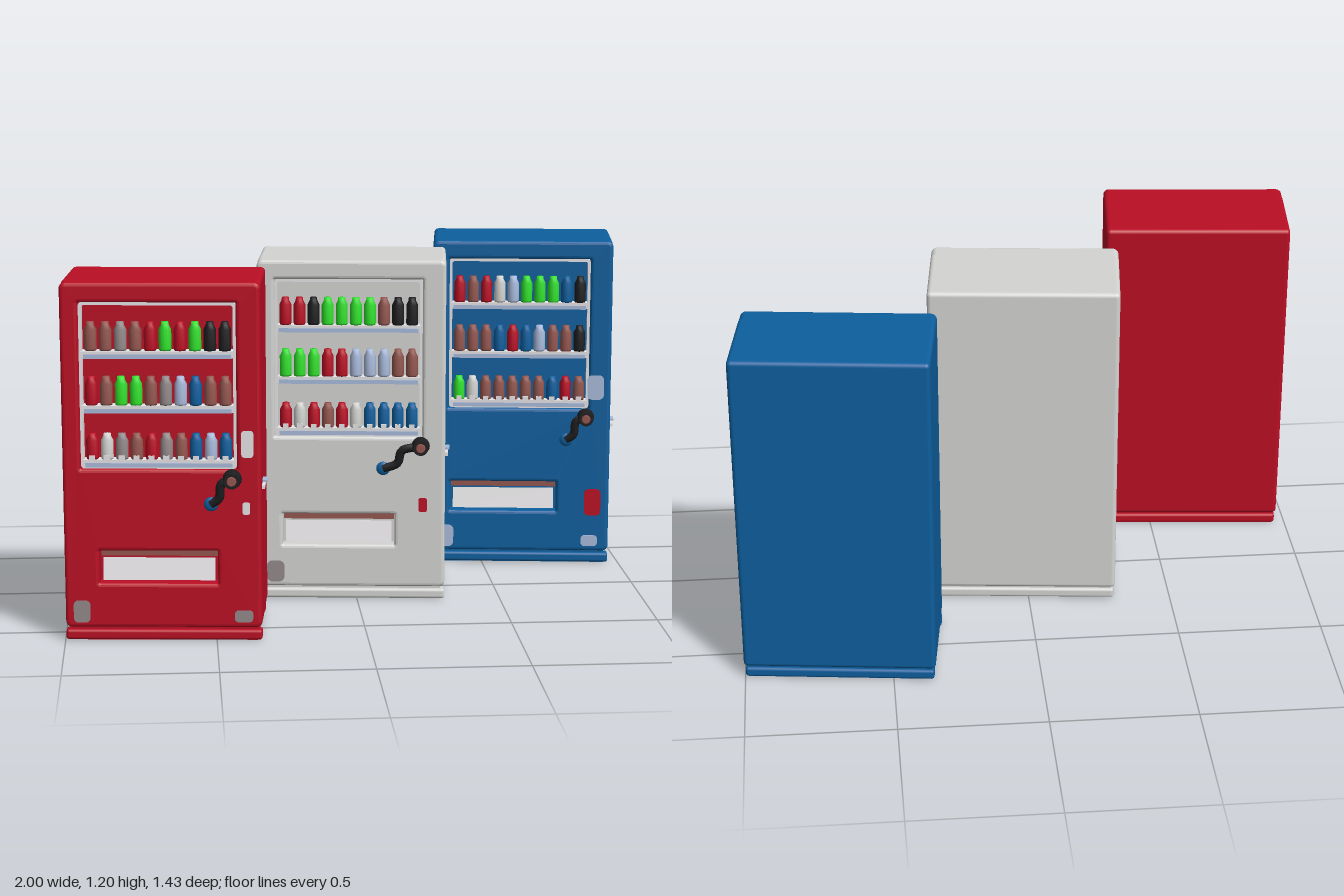
import * as THREE from 'three';
import { RoundedBoxGeometry } from 'three/addons/geometries/RoundedBoxGeometry.js';

const mat = (name, color) => {
  const m = new THREE.MeshStandardMaterial({ color });
  m.name = name;
  return m;
};
const M = {
  r: mat('red', 0xbb0e24), w: mat('white', 0xd4d4d2), b: mat('blue', 0x0d5f9e),
  k: mat('black', 0x1e1e20), g: mat('green', 0x2fe32b), n: mat('brown', 0x94564f),
  e: mat('grey', 0x94898a), l: mat('pale blue', 0xa9bbdc), p: mat('off white', 0xe6e4e6),
};

const W = 0.65, D = 0.385, FRONT = D / 2, RECESS = 0.14;
const WIN = [-0.265, 0.595, 0.245, 1.145];

function add(parent, name, geo, material, x = 0, y = 0, z = 0) {
  const mesh = new THREE.Mesh(geo, material);
  mesh.name = name;
  mesh.position.set(x, y, z);
  parent.add(mesh);
  return mesh;
}
const box = (w, h, d) => new THREE.BoxGeometry(w, h, d);

// Rectangle with rounded corners, as a Shape or a hole Path
function roundRect(P, x0, y0, x1, y1, r) {
  const s = new P();
  s.absarc(x1 - r, y1 - r, r, 0, Math.PI / 2);
  s.absarc(x0 + r, y1 - r, r, Math.PI / 2, Math.PI);
  s.absarc(x0 + r, y0 + r, r, Math.PI, Math.PI * 1.5);
  s.absarc(x1 - r, y0 + r, r, Math.PI * 1.5, Math.PI * 2);
  s.closePath();
  return s;
}

// Drink can with a narrower neck
const canGeo = new THREE.LatheGeometry(
  [[0, 0], [0.019, 0], [0.0205, 0.006], [0.0205, 0.066], [0.013, 0.08], [0.012, 0.09], [0, 0.09]]
    .map(([x, y]) => new THREE.Vector2(x, y)), 12);

function machine({ name, body, x, z, turn, rows, slotX, knobX, armTip, stickers }) {
  const g = new THREE.Group();
  g.name = name;
  g.position.set(x, 0, z);
  g.rotation.y = turn;

  // Cabinet, plinth and kick plate
  const backD = RECESS + D / 2;
  add(g, 'cabinet', new RoundedBoxGeometry(W, 1.15, backD, 3, 0.015), body, 0, 0.635, RECESS - backD / 2);
  add(g, 'plinth', box(W - 0.03, 0.06, D - 0.03), body, 0, 0.045, 0);
  add(g, 'kickPlate', new RoundedBoxGeometry(W, 0.035, 0.05, 2, 0.01), body, 0, 0.035, FRONT - 0.025);
  add(g, 'rearFoot', new RoundedBoxGeometry(W - 0.01, 0.035, 0.05, 2, 0.01), body, 0, 0.035, -FRONT + 0.03);

  // Door with openings for the display and the delivery slot
  const bev = 0.012;
  const slot = [slotX - 0.195, 0.21, slotX + 0.195, 0.32];
  const door = roundRect(THREE.Shape, -W / 2 + bev, 0.06 + bev, W / 2 - bev, 1.21 - bev, 0.008);
  for (const [a, b, c, d] of [WIN, slot])
    door.holes.push(roundRect(THREE.Path, a - bev, b - bev, c + bev, d + bev, 0.015));
  const doorGeo = new THREE.ExtrudeGeometry(door, {
    depth: FRONT - 0.1 - 2 * bev, bevelThickness: bev, bevelSize: bev, bevelSegments: 3, curveSegments: 4,
  });
  add(g, 'door', doorGeo, body, 0, 0, 0.1 + bev);

  // Thin window trim
  const t = 0.01;
  const trim = roundRect(THREE.Shape, WIN[0], WIN[1], WIN[2], WIN[3], 0.012);
  trim.holes.push(roundRect(THREE.Path, WIN[0] + t, WIN[1] + t, WIN[2] - t, WIN[3] - t, 0.008));
  add(g, 'windowTrim', new THREE.ExtrudeGeometry(trim, { depth: 0.03, bevelEnabled: false }), M.p, 0, 0, 0.15);

  // Shelves filled with cans
  const midX = (WIN[0] + WIN[2]) / 2;
  rows.forEach((row, i) => {
    const y = 0.985 - i * 0.18;
    add(g, 'shelf', box(0.5, 0.022, 0.046), M.p, midX, y - 0.011, 0.163);
    add(g, 'priceStrip', box(0.48, 0.014, 0.006), M.l, midX, y - 0.017, 0.186);
    [...row].forEach((c, j) => {
      const can = add(g, 'can', canGeo, M[c], midX - 0.218 + j * 0.0485, y, 0.163);
      can.scale.y = i === 2 ? 0.95 : 1.05;
      if (i === 2) add(g, 'canLabel', box(0.02, 0.016, 0.004), M.p, can.position.x, y + 0.006, 0.184);
    });
  });

  // Delivery slot
  const flap = add(g, 'deliveryFlap', box(0.37, 0.075, 0.008), M.p, slotX, 0.252, 0.158);
  flap.rotation.x = -0.2;
  add(g, 'slotShadowStrip', box(0.385, 0.025, 0.006), M.n, slotX, 0.306, 0.144);

  // Coin knob with its curved arm
  const knob = new THREE.Group();
  knob.name = 'coinKnob';
  knob.position.set(knobX, 0.565, FRONT);
  g.add(knob);
  add(knob, 'knobBody', new THREE.CylinderGeometry(0.026, 0.032, 0.05, 16), M.k, 0, 0, 0.022).rotation.x = Math.PI / 2;
  add(knob, 'knobCap', new THREE.CylinderGeometry(0.014, 0.017, 0.008, 12), M.n, 0, 0, 0.05).rotation.x = Math.PI / 2;
  const [ax, ay] = armTip;
  const curve = new THREE.CatmullRomCurve3([
    new THREE.Vector3(0, 0, 0.012), new THREE.Vector3(ax * 0.5, -0.015, 0.012),
    new THREE.Vector3(ax * 0.62, ay * 0.75, 0.008), new THREE.Vector3(ax, ay, 0.004),
  ]);
  add(knob, 'arm', new THREE.TubeGeometry(curve, 16, 0.015, 8), M.k);
  const tip = add(knob, 'armTip', new THREE.SphereGeometry(0.024, 12, 8), M.b, ax, ay, 0.002);
  tip.scale.z = 0.4;

  // Slim handle on the side
  add(g, 'sideHandle', box(0.012, 0.012, 0.13), M.p, W / 2 + 0.004, 0.53, 0.1);
  add(g, 'sideHandleTip', box(0.02, 0.007, 0.05), M.l, W / 2 + 0.006, 0.542, 0.1);

  // Stickers
  for (const [c, sx, sy, w, h] of stickers) {
    const s = roundRect(THREE.Shape, -w / 2, -h / 2, w / 2, h / 2, Math.min(w, h) * 0.3);
    add(g, 'sticker', new THREE.ExtrudeGeometry(s, { depth: 0.004, bevelEnabled: false }), M[c], sx, sy, FRONT);
  }
  return g;
}

export function createModel() {
  const root = new THREE.Group();
  root.name = 'vendingMachines';
  root.add(machine({
    name: 'redMachine', body: M.r, x: -0.658, z: 0.438, turn: -0.085,
    rows: ['nnenrgrgkk', 'rnggnelbnn', 'rwenrenblb'],
    slotX: -0.015, knobX: 0.23, armTip: [-0.07, -0.085],
    stickers: [['e', -0.27, 0.115, 0.055, 0.075], ['e', 0.265, 0.1, 0.06, 0.04],
      ['p', 0.28, 0.68, 0.04, 0.09], ['p', 0.275, 0.465, 0.025, 0.04]],
  }));
  root.add(machine({
    name: 'whiteMachine', body: M.w, x: 0, z: -0.035, turn: -0.1,
    rows: ['rrkggggnkk', 'gggrrlllnn', 'rwrnrwbbbb'],
    slotX: -0.045, knobX: 0.24, armTip: [-0.13, -0.08],
    stickers: [['e', -0.265, 0.115, 0.06, 0.075], ['r', 0.248, 0.355, 0.03, 0.05]],
  }));
  root.add(machine({
    name: 'blueMachine', body: M.b, x: 0.66, z: -0.5, turn: -0.115,
    rows: ['rnrwlgggbk', 'nnnbrblnnk', 'gwnnnnnbrn'],
    slotX: -0.063, knobX: 0.235, armTip: [-0.07, -0.085],
    stickers: [['l', -0.275, 0.115, 0.06, 0.08], ['l', 0.255, 0.1, 0.06, 0.04],
      ['r', 0.265, 0.245, 0.06, 0.1], ['l', 0.27, 0.675, 0.06, 0.09]],
  }));
  return root;
}
